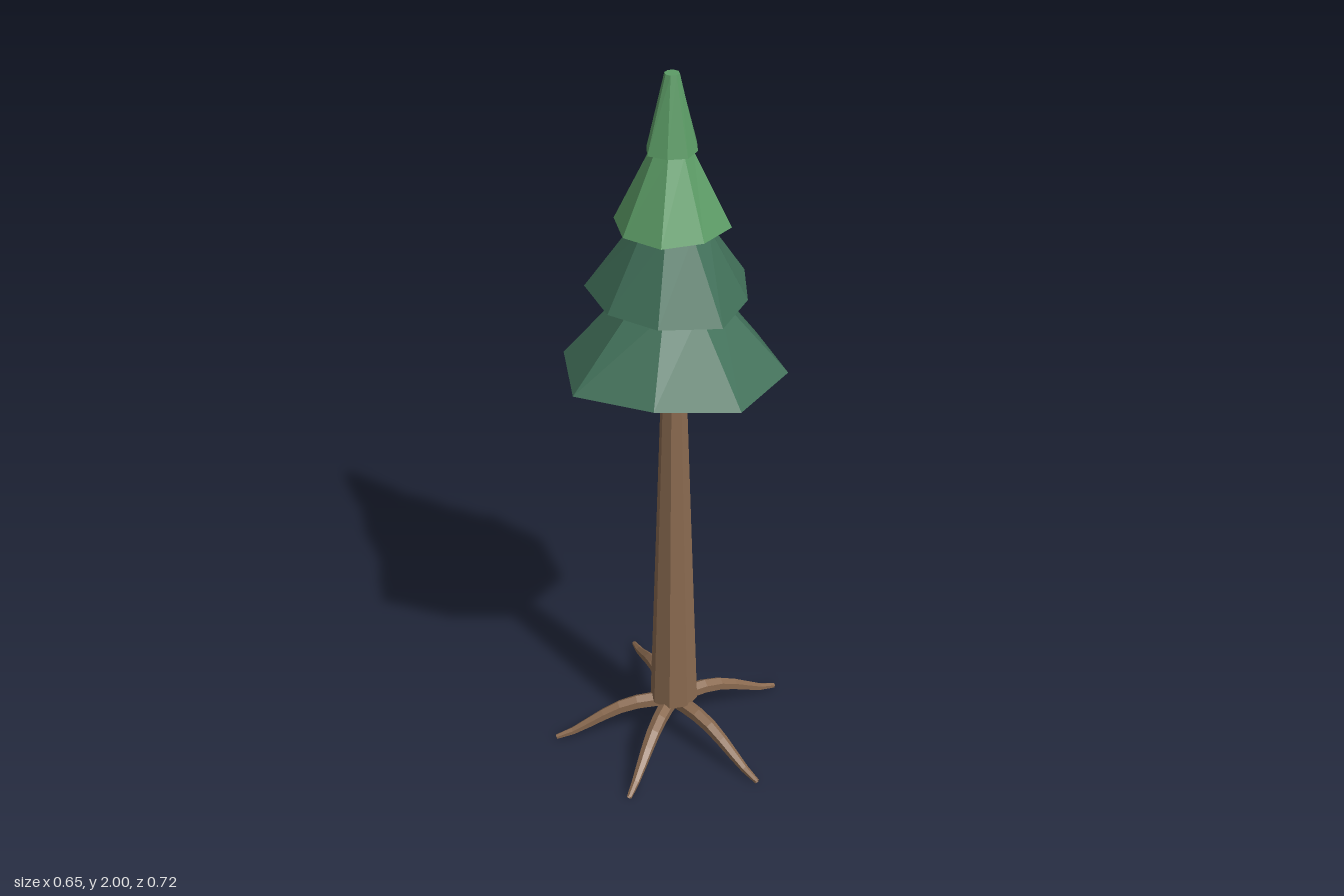
import * as THREE from 'three';

const AXIS = new THREE.Vector3(-0.025, 0, 0.025); // trunk centre line

const material = (color, side = THREE.FrontSide) =>
  new THREE.MeshStandardMaterial({ color, side, flatShading: true });

// Open eight-sided skirt with an uneven lower rim; radii run front, front left (+x), left, ... around
function skirt(rim, topRadius, y, mat) {
  const height = 0.2;
  const geometry = new THREE.CylinderGeometry(topRadius, 1, height, 8, 1, true);
  const pos = geometry.attributes.position;
  for (let i = 0; i < pos.count; i++) {
    if (pos.getY(i) > 0) continue;
    const r = rim[(i % 9) % 8];
    pos.setXYZ(i, pos.getX(i) * r, pos.getY(i), pos.getZ(i) * r);
  }
  geometry.computeVertexNormals();
  const mesh = new THREE.Mesh(geometry, mat);
  mesh.position.set(AXIS.x, y + height / 2, AXIS.z);
  return mesh;
}

// Tapered root arching from the trunk foot down to the ground
function root(tipX, tipZ, mat) {
  const dx = tipX - AXIS.x, dz = tipZ - AXIS.z;
  const profile = [[0, 0.105], [0.22, 0.108], [0.45, 0.092], [0.65, 0.06], [0.83, 0.026], [1, 0.006]];
  const path = new THREE.CatmullRomCurve3(
    profile.map(([t, y]) => new THREE.Vector3(AXIS.x + dx * t, y, AXIS.z + dz * t)));
  const segments = 7, sides = 6;
  const geometry = new THREE.TubeGeometry(path, segments, 1, sides);
  const pos = geometry.attributes.position;
  const v = new THREE.Vector3();
  for (let i = 0; i < pos.count; i++) {
    const t = Math.floor(i / (sides + 1)) / segments;
    const centre = path.getPointAt(t);
    const r = 0.022 - 0.015 * t * t;
    v.fromBufferAttribute(pos, i).sub(centre).multiplyScalar(r).add(centre);
    pos.setXYZ(i, v.x, Math.max(0, v.y), v.z);
  }
  geometry.computeVertexNormals();
  return new THREE.Mesh(geometry, mat);
}

export function createModel() {
  const tree = new THREE.Group();
  tree.name = 'pineTree';
  const bark = material(0x8a6a50);
  const barkThin = material(0x8a6a50, THREE.DoubleSide);
  const darkNeedles = material(0x417059, THREE.DoubleSide);
  const lightNeedles = material(0x5c9c66, THREE.DoubleSide);

  // Trunk
  const trunk = new THREE.Mesh(new THREE.CylinderGeometry(0.031, 0.066, 1.09, 8, 3), bark);
  trunk.position.set(-0.022, 0.12 + 0.545, 0.028);
  trunk.name = 'trunk';
  tree.add(trunk);

  // Roots
  const roots = new THREE.Group();
  roots.name = 'roots';
  const tips = [[0.1, -0.355], [0.32, 0.04], [0.03, 0.355], [-0.295, 0.21], [-0.32, -0.12]];
  tips.forEach(([x, z], i) => {
    const mesh = root(x, z, barkThin);
    mesh.name = `root${i + 1}`;
    roots.add(mesh);
  });
  tree.add(roots);

  // Foliage tiers, bottom to top
  const foliage = new THREE.Group();
  foliage.name = 'foliage';
  const tiers = [
    { rim: [0.302, 0.3, 0.268, 0.29, 0.265, 0.285, 0.302, 0.253], top: 0.12, mat: darkNeedles },
    { rim: [0.22, 0.193, 0.225, 0.205, 0.215, 0.227, 0.195, 0.193], top: 0.09, mat: darkNeedles },
    { rim: [0.138, 0.15, 0.145, 0.135, 0.142, 0.148, 0.147, 0.148], top: 0.053, mat: lightNeedles },
    { rim: [0.068, 0.064, 0.074, 0.07, 0.071, 0.064, 0.073, 0.064], top: 0.019, mat: lightNeedles },
  ];
  tiers.forEach(({ rim, top, mat }, i) => {
    const mesh = skirt(rim, top, 1.2 + 0.2 * i, mat);
    mesh.name = `foliageTier${i + 1}`;
    foliage.add(mesh);
  });

  // Flat treetop closing the last tier
  const treetop = new THREE.Mesh(new THREE.CircleGeometry(0.019, 8), lightNeedles);
  treetop.rotation.x = -Math.PI / 2;
  treetop.position.set(AXIS.x, 2, AXIS.z);
  treetop.name = 'treetop';
  foliage.add(treetop);
  tree.add(foliage);

  return tree;
}
